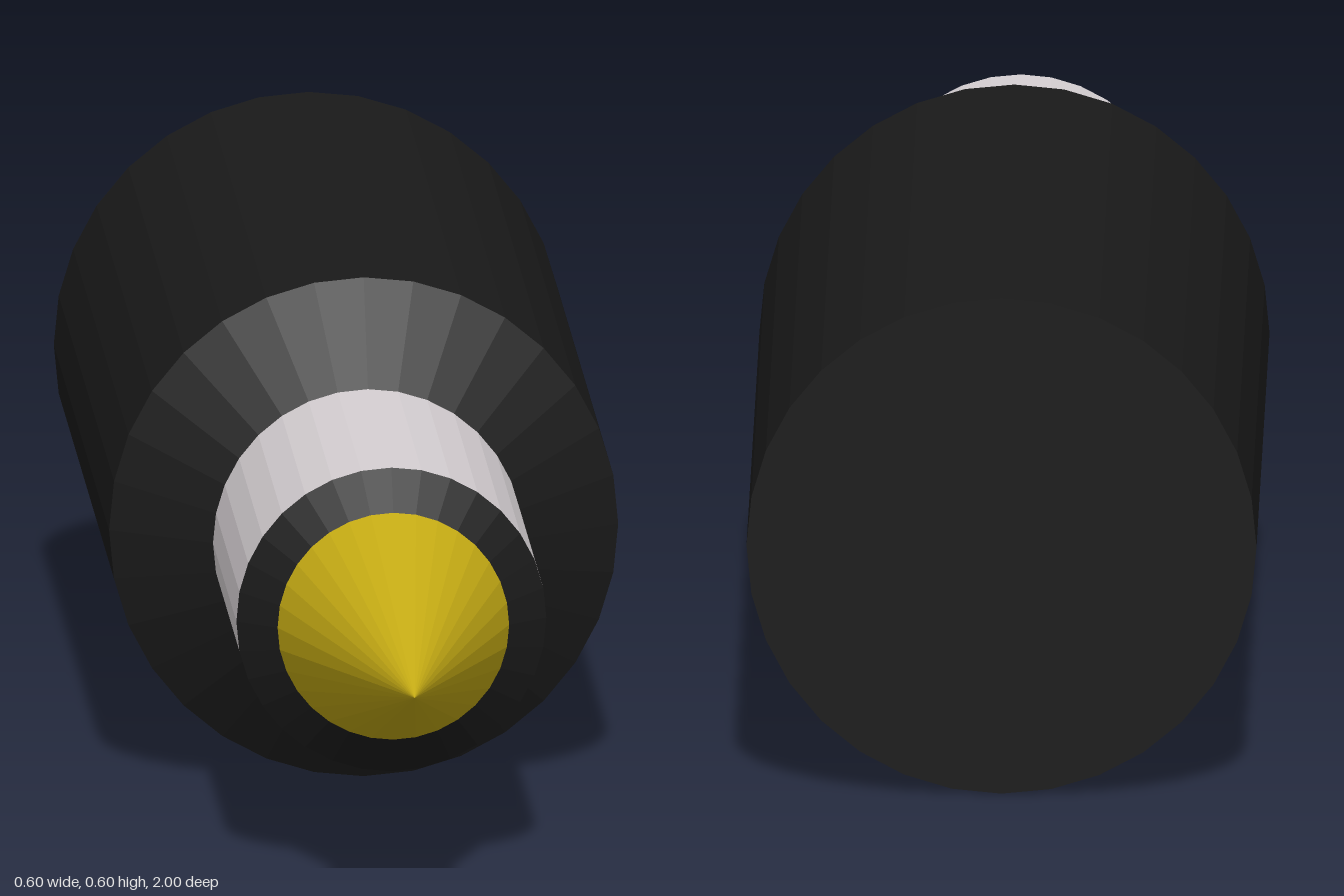
import * as THREE from 'three';

const SIDES = 32;
const AXIS_Y = 0.299;

export function createModel() {
  const model = new THREE.Group();
  model.name = 'markerPen';

  const material = (color) => new THREE.MeshStandardMaterial({ color, flatShading: true });
  const black = material(0x1a1a1a);
  const silver = material(0xd6d0d3);
  const yellow = material(0xc4aa14);

  // A round section along z, from the back radius to the front radius
  function section(name, zBack, zFront, rBack, rFront, mat, open = false) {
    const geometry = new THREE.CylinderGeometry(rFront, rBack, zFront - zBack, SIDES, 1, open);
    geometry.rotateX(Math.PI / 2);
    const mesh = new THREE.Mesh(geometry, mat);
    mesh.name = name;
    mesh.position.set(0, AXIS_Y, (zBack + zFront) / 2);
    model.add(mesh);
  }

  // Thick handle with its tapered shoulder
  section('handle', -1, 0.04, 0.299, 0.299, black);
  section('shoulder', 0.04, 0.12, 0.299, 0.182, black);

  // Metal sleeve and the dark collar that holds the point
  section('sleeve', 0.12, 0.56, 0.182, 0.182, silver);
  section('collar', 0.56, 0.598, 0.182, 0.136, black);

  // Sharp point
  section('tip', 0.598, 1, 0.136, 0, yellow);

  return model;
}
